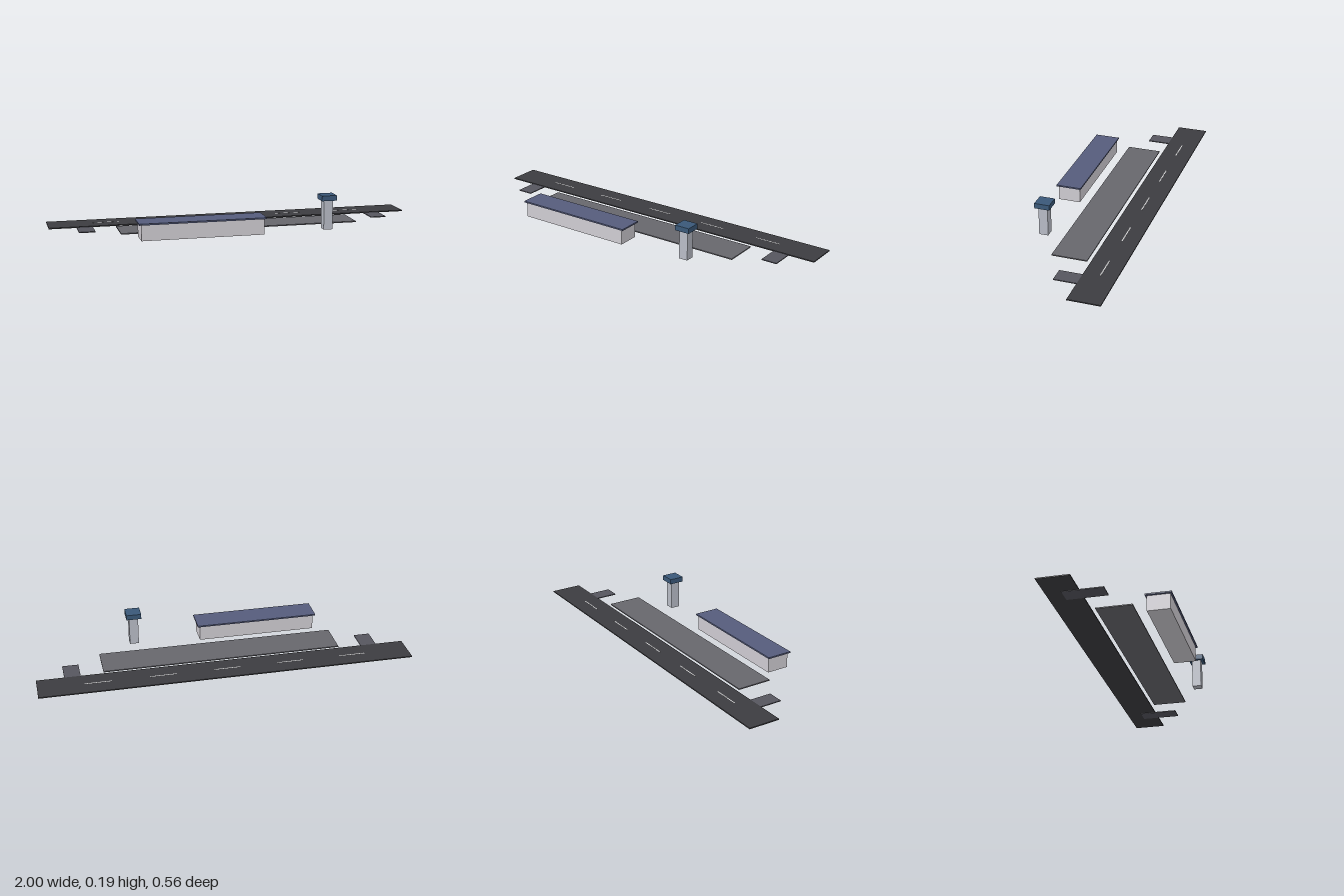
import * as THREE from 'three';

const paint = (color) => new THREE.MeshStandardMaterial({ color });

export function createModel() {
  const model = new THREE.Group();

  // Box given by its centre in plan, its base height and its size
  function slab(name, material, [x, base, z], [w, h, d]) {
    const mesh = new THREE.Mesh(new THREE.BoxGeometry(w, h, d), material);
    mesh.name = name;
    mesh.position.set(x, base + h / 2, z);
    model.add(mesh);
  }

  const asphalt = paint(0x3c3c40);
  const taxiGrey = paint(0x55555e);
  const apronGrey = paint(0x66666c);
  const white = paint(0xeeeeee);
  const wall = paint(0xcfccd2);
  const roofBlue = paint(0x555c7c);
  const concrete = paint(0xb8bcc6);
  const glass = paint(0x3a5878);

  // Runway with centre line dashes
  slab('runway', asphalt, [0, 0.003, -0.195], [2, 0.006, 0.17]);
  for (let i = -2; i <= 2; i++) {
    slab('centreLineDash', white, [i * 0.343, 0.0085, -0.195], [0.143, 0.001, 0.006]);
  }

  // Taxiways joining the runway at both ends
  for (const side of [-1, 1]) {
    slab('taxiway', taxiGrey, [side * 0.81, 0.001, -0.0925], [0.086, 0.005, 0.21]);
  }

  // Apron
  slab('apron', apronGrey, [0, 0.001, 0.006], [1.29, 0.006, 0.188]);

  // Terminal building
  slab('terminalWalls', wall, [-0.243, 0, 0.2115], [0.645, 0.083, 0.12]);
  slab('terminalRoof', roofBlue, [-0.243, 0.083, 0.2115], [0.67, 0.008, 0.137]);

  // Control tower
  slab('towerShaft', concrete, [0.44, 0, 0.2115], [0.049, 0.157, 0.049]);
  slab('towerCab', glass, [0.44, 0.157, 0.2115], [0.081, 0.028, 0.081]);

  return model;
}
